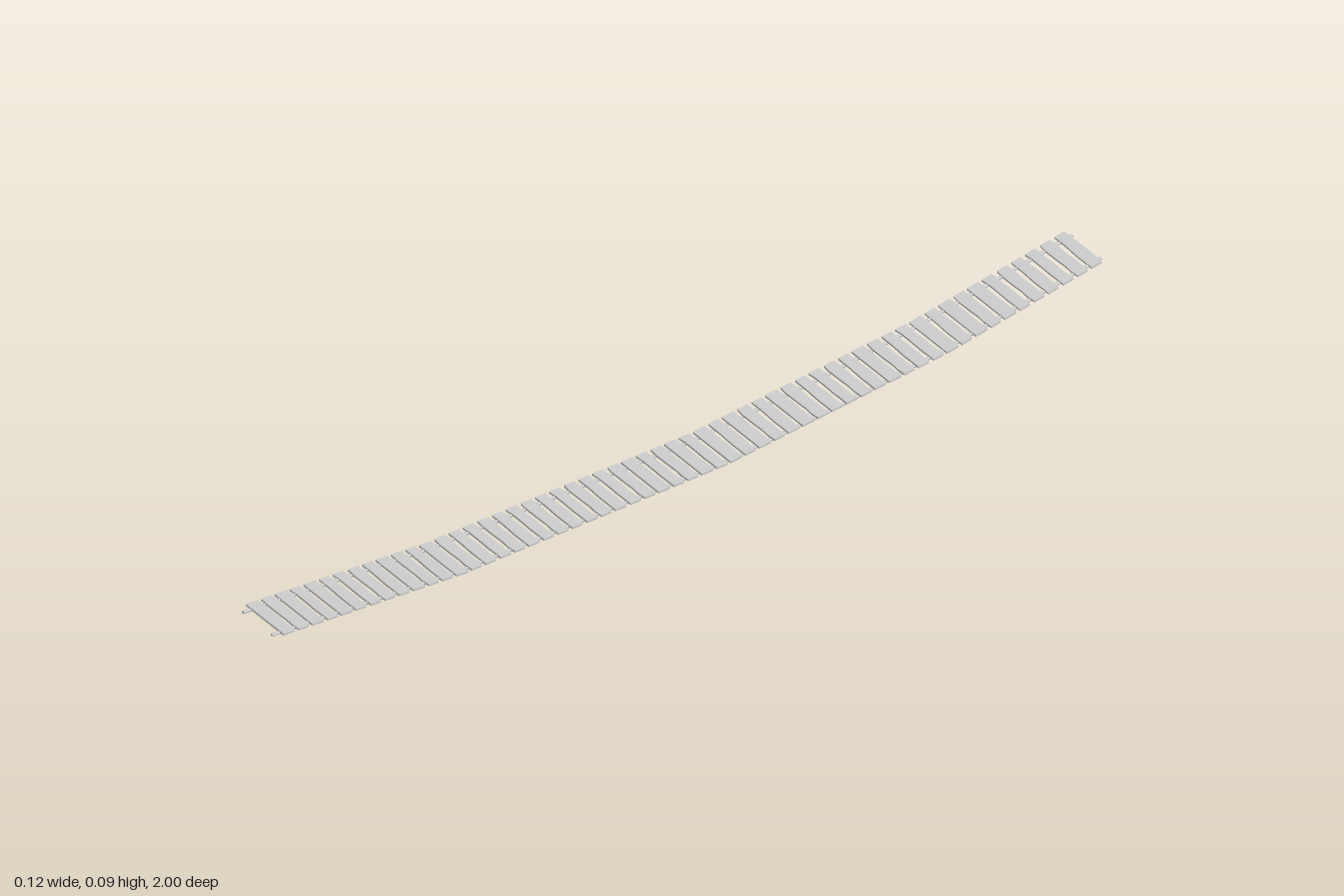
import * as THREE from 'three';

const ROPE_R = 0.0034;
// [z, y] along the sag of the plank deck and of the ropes beneath it
const DECK = [[1, 0.0875], [0.55, 0.0355], [-0.09, 0.0085], [-0.62, 0.0345], [-1, 0.084]];
const ROPE = [[1, 0.0845], [0.55, 0.0325], [-0.09, ROPE_R], [-0.38, 0.0125], [-0.62, 0.0315], [-1, 0.081]];

// Height and slope of the deck at z
function deckAt(z) {
  let i = 0;
  while (i < DECK.length - 2 && z < DECK[i + 1][0]) i++;
  const [z0, y0] = DECK[i], [z1, y1] = DECK[i + 1];
  const slope = (y1 - y0) / (z1 - z0);
  return { y: y0 + slope * (z - z0), slope };
}

// Small seeded generator for plank wear
function seeded(seed) {
  return () => {
    seed = (seed * 16807) % 2147483647;
    return seed / 2147483647;
  };
}

// Board with slightly uneven long edges
function plankGeometry(width, wear, rand) {
  const geo = new THREE.BoxGeometry(0.12, 0.005, width, 6, 1, 1);
  const pos = geo.attributes.position;
  const offsets = Array.from({ length: 14 }, () => rand() * wear);
  for (let i = 0; i < pos.count; i++) {
    const column = Math.round((pos.getX(i) + 0.06) / 0.02);
    const z = pos.getZ(i);
    pos.setZ(i, z - Math.sign(z) * offsets[column + (z > 0 ? 7 : 0)]);
  }
  geo.computeVertexNormals();
  return geo;
}

export function createModel() {
  const group = new THREE.Group();
  group.name = 'ropeBridge';
  const material = new THREE.MeshStandardMaterial({ color: 0xcccccc, flatShading: true });
  const ropeMaterial = new THREE.MeshStandardMaterial({ color: 0xcccccc });
  const rand = seeded(73);

  // Deck planks: plain boards and worn boards
  const planks = new THREE.Group();
  planks.name = 'planks';
  const plain = plankGeometry(0.028, 0, rand);
  const worn = [0, 1, 2].map(() => plankGeometry(0.0275, 0.0025, rand));
  const plainRows = [0, 2, 4, 9, 12, 26, 29, 31, 33, 36, 42, 46, 48, 50];
  const COUNT = 57;
  for (let i = 0; i < COUNT; i++) {
    const z = 0.968 - i * (1.948 / (COUNT - 1));
    const { y, slope } = deckAt(z);
    const plank = new THREE.Mesh(plainRows.includes(i) ? plain : worn[i % 3], material);
    plank.name = 'plank' + (i + 1);
    plank.position.set(0, y, z);
    plank.rotation.x = -Math.atan(slope);
    planks.add(plank);
  }
  group.add(planks);

  // Two supporting ropes with closed ends
  for (const [x, side] of [[0.046, 'left'], [-0.045, 'right']]) {
    const rope = new THREE.Group();
    rope.name = side + 'Rope';
    const path = new THREE.CurvePath();
    const pts = ROPE.map(([z, y]) => new THREE.Vector3(x, y, z));
    for (let i = 0; i < pts.length - 1; i++) path.add(new THREE.LineCurve3(pts[i], pts[i + 1]));
    const strand = new THREE.Mesh(new THREE.TubeGeometry(path, 80, ROPE_R, 8), ropeMaterial);
    strand.name = 'strand';
    rope.add(strand);
    for (const end of [0, 1]) {
      const cap = new THREE.Mesh(new THREE.CircleGeometry(ROPE_R, 8), ropeMaterial);
      cap.name = 'ropeEnd';
      const outward = path.getTangent(end).multiplyScalar(end ? 1 : -1);
      cap.position.copy(end ? pts[pts.length - 1] : pts[0]);
      cap.quaternion.setFromUnitVectors(new THREE.Vector3(0, 0, 1), outward);
      rope.add(cap);
    }
    group.add(rope);
  }
  return group;
}
